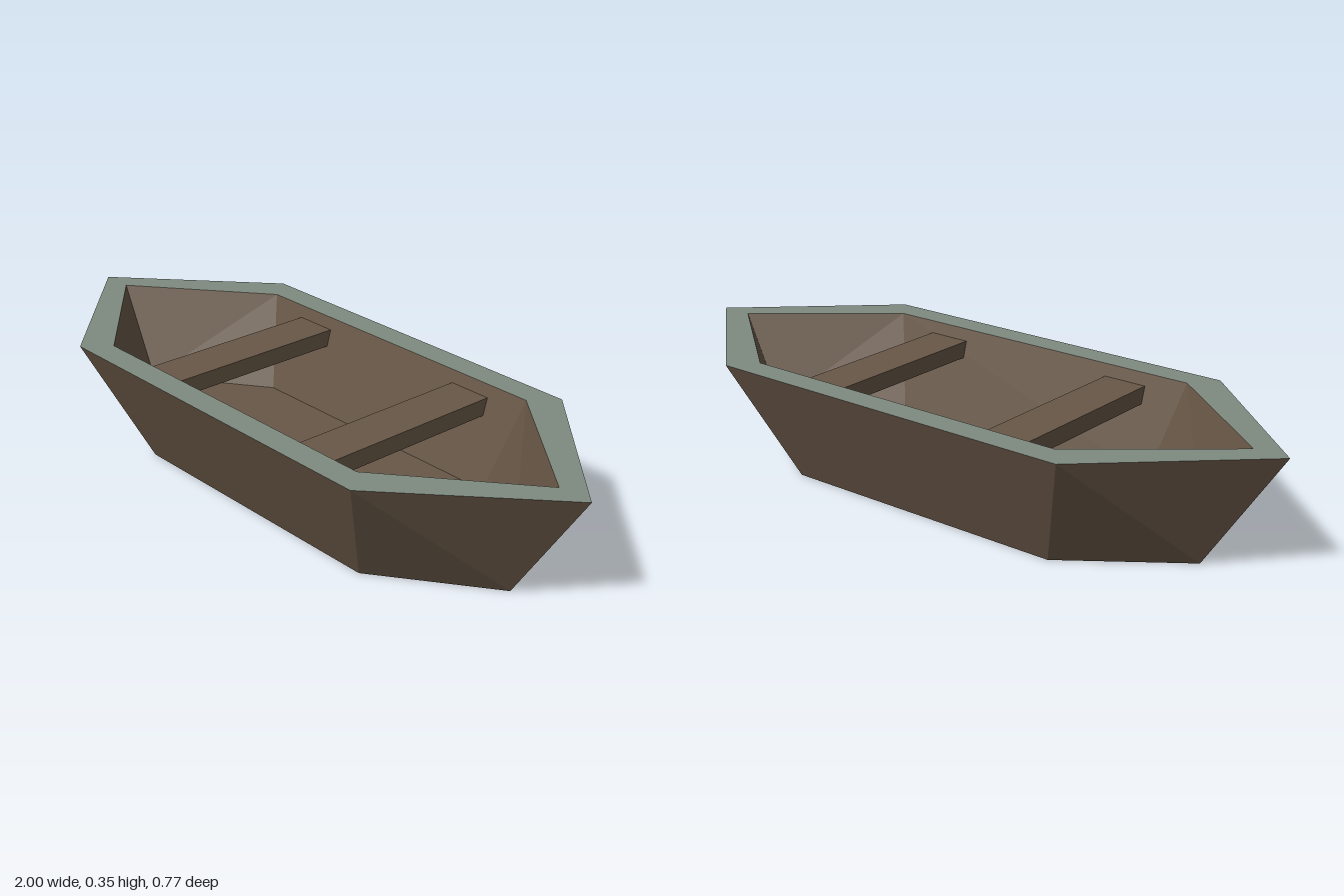
import * as THREE from 'three';

const WOOD = 0x685747, RIM = 0x7e8a80;
const material = (color) => new THREE.MeshStandardMaterial({ color, flatShading: true });

// Six-cornered boat outline: tips on x, shoulders at (shoulder, halfWidth)
const ring = (tip, shoulder, halfWidth, y) => [
  [tip, y, 0], [shoulder, y, halfWidth], [-shoulder, y, halfWidth],
  [-tip, y, 0], [-shoulder, y, -halfWidth], [shoulder, y, -halfWidth],
];

// Strip of faces from ring a to ring b; tipOnA picks which ring's tip the end diagonals meet
function band(a, b, tipOnA) {
  const tris = [];
  for (let i = 0; i < 6; i++) {
    const j = (i + 1) % 6;
    if ((i % 3 === 0) === tipOnA) tris.push(a[i], b[i], b[j], a[i], b[j], a[j]);
    else tris.push(a[i], b[i], a[j], b[i], b[j], a[j]);
  }
  return tris;
}

// Flat cover over a ring, facing up or down
function cap(p, up) {
  const tris = [];
  for (let i = 1; i < 5; i++) tris.push(p[0], p[up ? i + 1 : i], p[up ? i : i + 1]);
  return tris;
}

function part(name, tris, color) {
  const geometry = new THREE.BufferGeometry();
  geometry.setAttribute('position', new THREE.Float32BufferAttribute(tris.flat(), 3));
  geometry.computeVertexNormals();
  const mesh = new THREE.Mesh(geometry, material(color));
  mesh.name = name;
  return mesh;
}

export function createModel() {
  const boat = new THREE.Group();
  boat.name = 'rowingBoat';

  const keel = ring(0.77, 0.45, 0.232, 0);
  const outerTop = ring(1, 0.58, 0.387, 0.355);
  const innerTop = ring(0.9, 0.52, 0.31, 0.355);
  const floor = ring(0.77, 0.45, 0.232, 0.08);

  // Hull shell, gunwale, inside walls and floor
  boat.add(
    part('hull', [...band(keel, outerTop, true), ...cap(keel, false)], WOOD),
    part('gunwale', band(outerTop, innerTop, true), RIM),
    part('innerWalls', band(innerTop, floor, false), WOOD),
    part('floor', cap(floor, true), WOOD),
  );

  // Two bench seats across the boat
  for (const side of [-1, 1]) {
    const seat = new THREE.Mesh(new THREE.BoxGeometry(0.135, 0.05, 0.6), material(WOOD));
    seat.name = side > 0 ? 'leftSeat' : 'rightSeat';
    seat.position.set(side * 0.323, 0.295, 0);
    boat.add(seat);
  }
  return boat;
}
